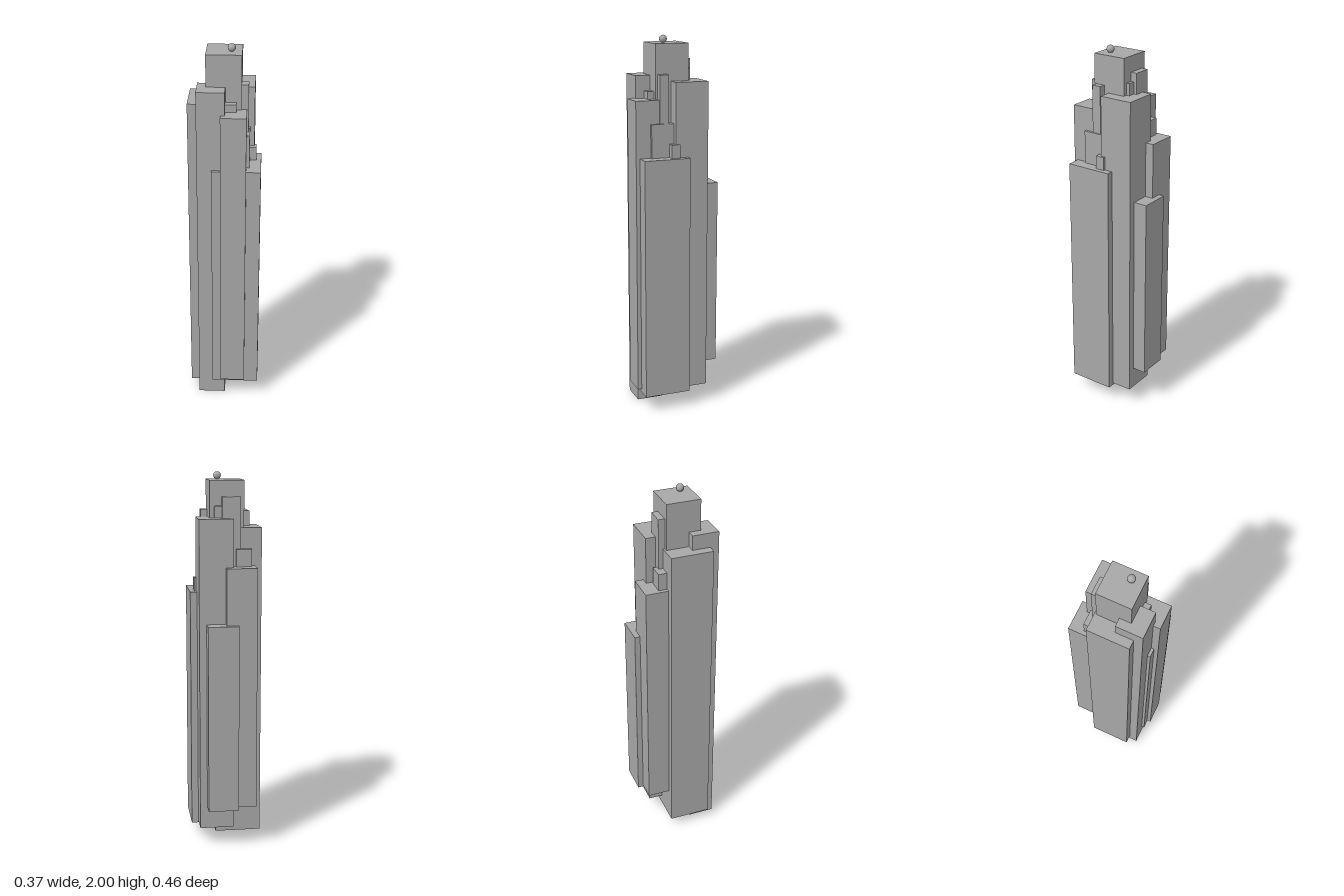
import * as THREE from 'three';

export function createModel() {
  const model = new THREE.Group();
  model.name = 'skyscraper';
  const concrete = new THREE.MeshStandardMaterial({ color: 0xa8a8a8 });
  concrete.name = 'grey concrete';

  // Clustered shafts: name, x range, y range, z range
  const shafts = [
    ['centralTower', -0.095, 0.085, 0.07, 1.96, -0.07, 0.111],
    ['frontRightShaft', -0.14, 0.003, 0, 1.795, 0.049, 0.191],
    ['rightShaft', -0.187, 0.059, 0.05, 1.717, -0.08, 0.145],
    ['backLeftShaft', -0.031, 0.15, 0.102, 1.768, -0.156, 0.025],
    ['leftShaft', -0.065, 0.186, 0.09, 1.38, -0.043, 0.207],
    ['frontShaft', -0.019, 0.112, 0.11, 1.677, 0.097, 0.228],
    ['backRightShaft', -0.149, 0.012, 0.23, 1.52, -0.201, -0.04],
    ['backShaft', -0.05, 0.112, 0.222, 1.225, -0.23, -0.068],
    // Slim secondary pillars rising between the shafts
    ['backRightPillar', -0.128, -0.047, 0.4, 1.61, -0.125, -0.044],
    ['backPillar', -0.073, 0.023, 0.4, 1.877, -0.104, -0.008],
    ['innerBackPillar', -0.02, 0.063, 0.4, 1.83, -0.088, -0.005],
    ['frontLeftPillar', 0.07, 0.12, 0.4, 1.805, 0.051, 0.1],
    ['frontLeftStep', 0.0, 0.127, 0.4, 1.555, 0.021, 0.148],
    ['leftPillar', 0.112, 0.161, 0.4, 1.45, 0.002, 0.051],
  ];
  for (const [name, x0, x1, y0, y1, z0, z1] of shafts) {
    const shaft = new THREE.Mesh(new THREE.BoxGeometry(x1 - x0, y1 - y0, z1 - z0), concrete);
    shaft.position.set((x0 + x1) / 2, (y0 + y1) / 2, (z0 + z1) / 2);
    shaft.name = name;
    model.add(shaft);
  }

  // Small ball on the roof
  const ball = new THREE.Mesh(new THREE.SphereGeometry(0.02, 24, 16), concrete);
  ball.position.set(0.032, 1.98, 0.05);
  ball.name = 'roofBall';
  model.add(ball);

  return model;
}
